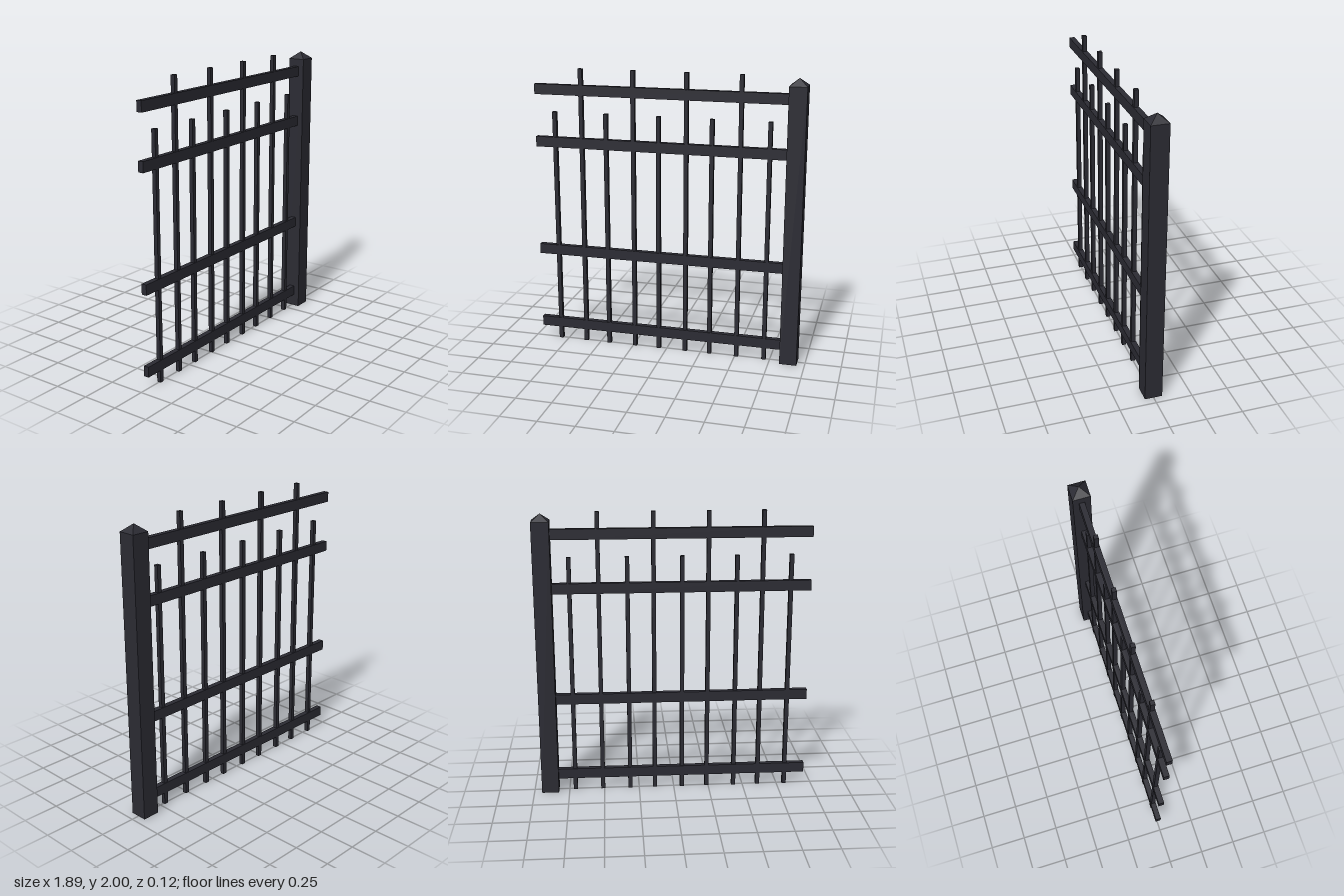
import * as THREE from 'three';

export function createModel() {
  const model = new THREE.Group();
  model.name = 'fencePanel';
  const iron = new THREE.MeshStandardMaterial({ color: 0x2b2b33 });
  iron.name = 'dark iron';

  const add = (name, geometry, x, y, z = 0) => {
    const mesh = new THREE.Mesh(geometry, iron);
    mesh.name = name;
    mesh.position.set(x, y, z);
    model.add(mesh);
    return mesh;
  };

  // Square end post with a shallow pyramid cap
  const postX = 0.885, postWidth = 0.12, postHeight = 1.94, capHeight = 0.05;
  add('post', new THREE.BoxGeometry(postWidth, postHeight, postWidth), postX, postHeight / 2);
  const cap = new THREE.ConeGeometry(postWidth / Math.SQRT2, capHeight, 4, 1, true)
    .rotateY(Math.PI / 4)
    .toNonIndexed();
  cap.computeVertexNormals();
  add('postCap', cap, postX, postHeight + capHeight / 2);

  // Horizontal rails, running from the free end into the post
  const railStart = -0.945, railEnd = 0.83;
  const railGeometry = new THREE.BoxGeometry(railEnd - railStart, 0.072, 0.038);
  [0.125, 0.689, 1.481, 1.851].forEach((y, i) =>
    add(`rail${i + 1}`, railGeometry, (railStart + railEnd) / 2, y));

  // Vertical bars, alternating short and tall
  const barWidth = 0.029;
  [-0.806, -0.61, -0.434, -0.238, -0.059, 0.136, 0.314, 0.51, 0.707].forEach((x, i) => {
    const height = i % 2 ? 2 : 1.695;
    add(`${i % 2 ? 'tall' : 'short'}Bar${i + 1}`,
      new THREE.BoxGeometry(barWidth, height, barWidth), x, height / 2);
  });

  return model;
}
